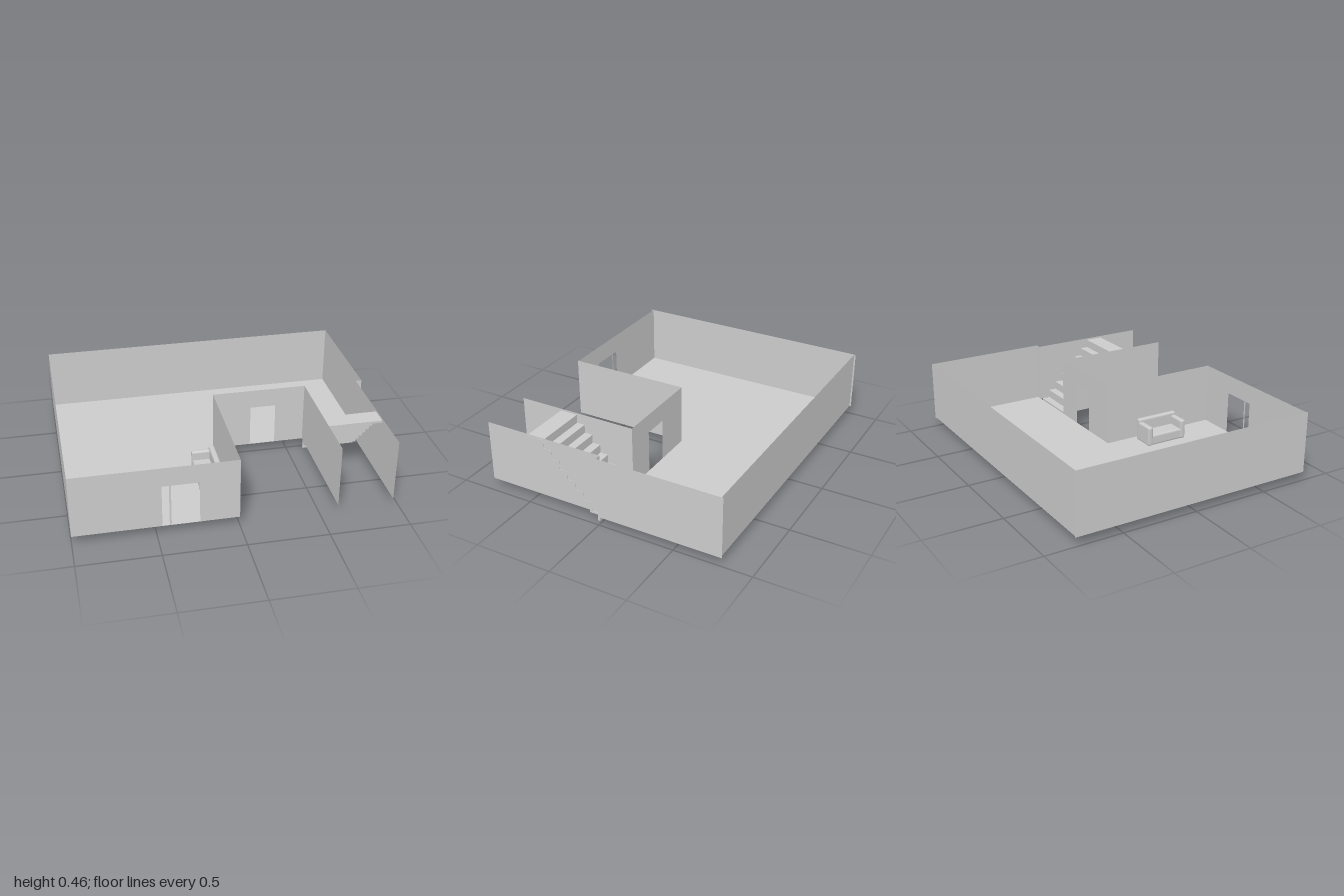
import * as THREE from 'three';
import { RoundedBoxGeometry } from 'three/addons/geometries/RoundedBoxGeometry.js';

const FLOOR = 0.057, WALL_H = 0.4;

export function createModel() {
  const model = new THREE.Group();
  model.name = 'floorPlan';
  const sheet = new THREE.MeshStandardMaterial({ color: 0xcccccc, side: THREE.DoubleSide, flatShading: true });
  const solid = new THREE.MeshStandardMaterial({ color: 0xcccccc, flatShading: true });

  const add = (name, geometry, material, parent = model) => {
    const mesh = new THREE.Mesh(geometry, material);
    mesh.name = name;
    parent.add(mesh);
    return mesh;
  };
  const polygon = (points) => new THREE.Shape(points.map(([x, y]) => new THREE.Vector2(x, y)));

  // L-shaped floor sheet, drawn in x and -z
  const floor = polygon([[-1, -0.797], [0, -0.797], [0, 0], [1, 0], [1, 0.8], [-1, 0.8]]);
  add('floor', new THREE.ShapeGeometry(floor).rotateX(-Math.PI / 2).translate(0, FLOOR, 0), sheet);

  // Thin walls facing z; each doorway [from, to, height] is a notch in the lower edge
  const wallAlongX = (name, x0, x1, z, doors = []) => {
    const outline = [[x0, 0]];
    for (const [a, b, h] of doors) outline.push([a, 0], [a, h], [b, h], [b, 0]);
    outline.push([x1, 0], [x1, WALL_H], [x0, WALL_H]);
    add(name, new THREE.ShapeGeometry(polygon(outline)).translate(0, FLOOR, z), sheet);
  };
  wallAlongX('backWall', -1, 1, -0.8);
  wallAlongX('frontWall', -1, 0, 0.797, [[-0.465, -0.422, 0.276], [-0.41, -0.24, 0.276]]);
  wallAlongX('innerFrontWall', 0, 0.61, 0, [[0.25, 0.417, 0.276]]);
  wallAlongX('cornerWall', 0.96, 1, 0);

  // Thin walls facing x
  const wallAlongZ = (name, x, z0, z1) => {
    const geometry = new THREE.PlaneGeometry(z1 - z0, WALL_H).rotateY(Math.PI / 2);
    add(name, geometry.translate(x, FLOOR + WALL_H / 2, (z0 + z1) / 2), sheet);
  };
  wallAlongZ('rightSideWall', -1, -0.81, 0.81);
  wallAlongZ('leftSideWall', 1, -0.81, 0);
  wallAlongZ('innerSideWall', 0, 0, 0.803);
  wallAlongZ('stairWallRight', 0.61, 0, 0.8);
  wallAlongZ('stairWallLeft', 0.96, 0, 0.8);

  // Folded staircase with a landing: upper profile and its offset underside
  const steps = 8, rise = 0.445 / steps, run = 0.0543, start = 0.016, t = 0.015;
  const upper = [], lower = [];
  for (let i = 0; i < steps; i++) {
    const z = start + i * run;
    const end = i === steps - 1 ? 0.513 : z + run;
    upper.push([z, i * rise], [z, (i + 1) * rise]);
    lower.push([z + t, Math.max(0, i * rise - t)], [z + t, (i + 1) * rise - t]);
    if (i === steps - 1) {
      upper.push([end, steps * rise]);
      lower.push([end, steps * rise - t]);
    }
  }
  const stairs = new THREE.ExtrudeGeometry(polygon([...upper, ...lower.reverse()]), { depth: 0.352, bevelEnabled: false });
  add('stairs', stairs.rotateY(-Math.PI / 2).translate(0.962, 0, 0), solid);

  // Sofa with its back to the inner side wall
  const sofa = new THREE.Group();
  sofa.name = 'sofa';
  model.add(sofa);
  const cushion = (name, x0, x1, h, z0, z1) => {
    const geometry = new RoundedBoxGeometry(x1 - x0, h, z1 - z0, 2, 0.012);
    add(name, geometry.translate((x0 + x1) / 2, FLOOR + h / 2, (z0 + z1) / 2), solid, sofa);
  };
  cushion('sofaSeat', -0.18, -0.05, 0.07, 0.21, 0.48);
  cushion('sofaBack', -0.072, -0.035, 0.15, 0.2, 0.49);
  for (const [side, z] of [['Rear', 0.2], ['Front', 0.453]]) cushion('sofaArm' + side, -0.185, -0.04, 0.13, z, z + 0.037);

  return model;
}
